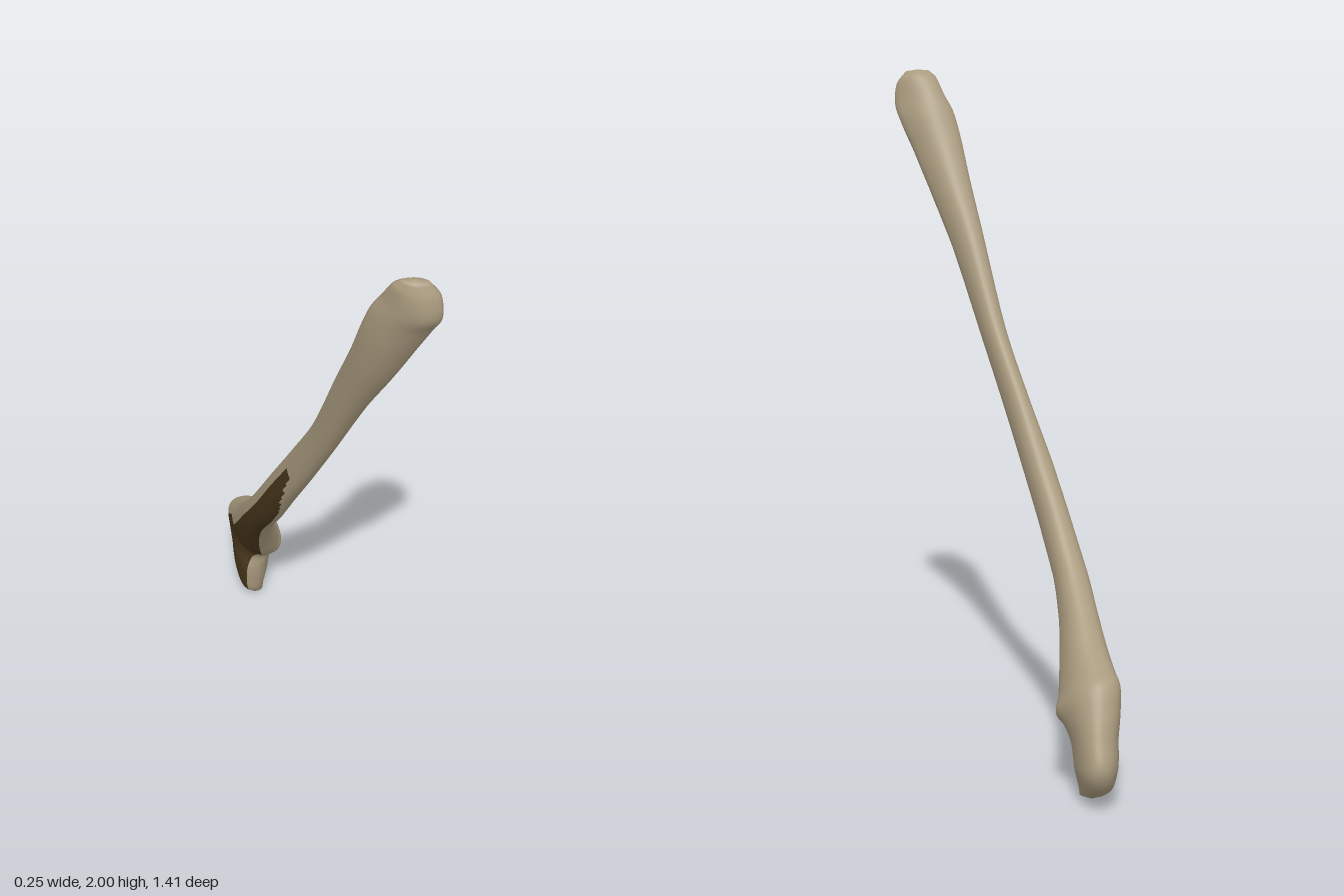
import * as THREE from 'three';

// Cross-sections from the upper end to the lower end:
// back edge z, y, front edge z, y, x min, x max, sideways lean of the back edge
const SECTIONS = [
  [0.65, 1.998, 0.685, 1.994, 0.032, 0.085, -0.018],
  [0.628, 1.982, 0.703, 1.95, 0.018, 0.108, -0.03],
  [0.59, 1.93, 0.705, 1.89, 0.006, 0.112, -0.036],
  [0.56, 1.88, 0.67, 1.835, -0.015, 0.108, -0.036],
  [0.52, 1.80, 0.622, 1.745, -0.031, 0.088, -0.028],
  [0.46, 1.69, 0.555, 1.625, -0.04, 0.064, -0.018],
  [0.36, 1.53, 0.44, 1.45, -0.049, 0.034, -0.008],
  [0.19, 1.245, 0.27, 1.18, -0.063, 0.003, 0],
  [0.06, 1.06, 0.14, 0.985, -0.084, -0.018, 0],
  [-0.07, 0.88, 0.015, 0.81, -0.11, -0.03, 0],
  [-0.18, 0.735, -0.085, 0.67, -0.122, -0.038, 0],
  [-0.29, 0.605, -0.19, 0.55, -0.126, -0.035, 0],
  [-0.40, 0.50, -0.275, 0.44, -0.118, -0.015, 0],
  [-0.49, 0.425, -0.35, 0.335, -0.108, 0.015, -0.005],
  [-0.56, 0.38, -0.41, 0.25, -0.098, 0.04, -0.014],
  [-0.605, 0.35, -0.445, 0.215, -0.09, 0.058, -0.022],
  [-0.64, 0.285, -0.466, 0.19, -0.086, 0.052, -0.005],
  [-0.67, 0.215, -0.469, 0.14, -0.08, 0.045, 0.015],
  [-0.70, 0.13, -0.475, 0.085, -0.072, 0.045, 0.022],
  [-0.675, 0.07, -0.485, 0.035, -0.062, 0.03, 0.018],
  [-0.60, 0.025, -0.505, 0.006, -0.045, 0.012, 0],
];

// Dark patch along the lower right side: angle range (in units of PI) at a height
function isDark(y, angle) {
  if (y > 1.02) return false;
  const low = y < 0.3 ? 1.12 : 1.03 + 0.4 * Math.max(0, (y - 0.78) / 0.24);
  const high = y < 0.35 ? 1.67 : 1.54;
  return angle > low && angle < high;
}

// Loft rounded cross-sections along the bone and close both ends
function loftBone(sections, rings, sides) {
  const curve = (f) => new THREE.CatmullRomCurve3(
    sections.map((s) => new THREE.Vector3(...f(s))), false, 'centripetal');
  const back = curve((s) => [0, s[1], s[0]]);
  const front = curve((s) => [0, s[3], s[2]]);
  const width = curve((s) => [s[4], s[5], s[6]]);
  const positions = [], light = [], dark = [];
  const power = (v, p) => Math.sign(v) * Math.pow(Math.abs(v), p);

  for (let i = 0; i <= rings; i++) {
    const t = i / rings;
    const b = back.getPoint(t), f = front.getPoint(t), w = width.getPoint(t);
    const mid = b.clone().add(f).multiplyScalar(0.5);
    const half = b.clone().sub(f).multiplyScalar(0.5);
    for (let j = 0; j < sides; j++) {
      const a = (j / sides) * Math.PI * 2;
      const u = power(Math.cos(a), 0.85), v = power(Math.sin(a), 0.85);
      const x = (w.x + w.y) / 2 + v * (w.y - w.x) / 2 + u * w.z;
      positions.push(x, mid.y + half.y * u, mid.z + half.z * u);
    }
    if (i === rings) break;
    for (let j = 0; j < sides; j++) {
      const k = (j + 1) % sides;
      const p = i * sides + j, q = i * sides + k;
      const target = isDark(mid.y, (2 * j + 1) / sides) ? dark : light;
      target.push(p, q, p + sides, q, q + sides, p + sides);
    }
  }
  // end caps
  for (const last of [false, true]) {
    const start = last ? rings * sides : 0;
    const s = sections[last ? sections.length - 1 : 0];
    const centre = positions.length / 3;
    positions.push((s[4] + s[5]) / 2, (s[1] + s[3]) / 2 + (last ? -0.012 : 0.004), (s[0] + s[2]) / 2);
    for (let j = 0; j < sides; j++) {
      const p = start + j, q = start + (j + 1) % sides;
      light.push(centre, last ? p : q, last ? q : p);
    }
  }
  const geometry = new THREE.BufferGeometry();
  geometry.setAttribute('position', new THREE.Float32BufferAttribute(positions, 3));
  geometry.setIndex([...light, ...dark]);
  geometry.addGroup(0, light.length, 0);
  geometry.addGroup(light.length, dark.length, 1);
  geometry.computeVertexNormals();
  return geometry;
}

function makeMaterial(name, color) {
  const material = new THREE.MeshStandardMaterial({ color });
  material.name = name;
  return material;
}

export function createModel() {
  const group = new THREE.Group();
  group.name = 'longBone';
  const materials = [makeMaterial('bone', 0xa99a7e), makeMaterial('darkBrown', 0x47361c)];
  const shaft = new THREE.Mesh(loftBone(SECTIONS, 100, 48), materials);
  shaft.name = 'boneShaft';
  group.add(shaft);
  return group;
}
